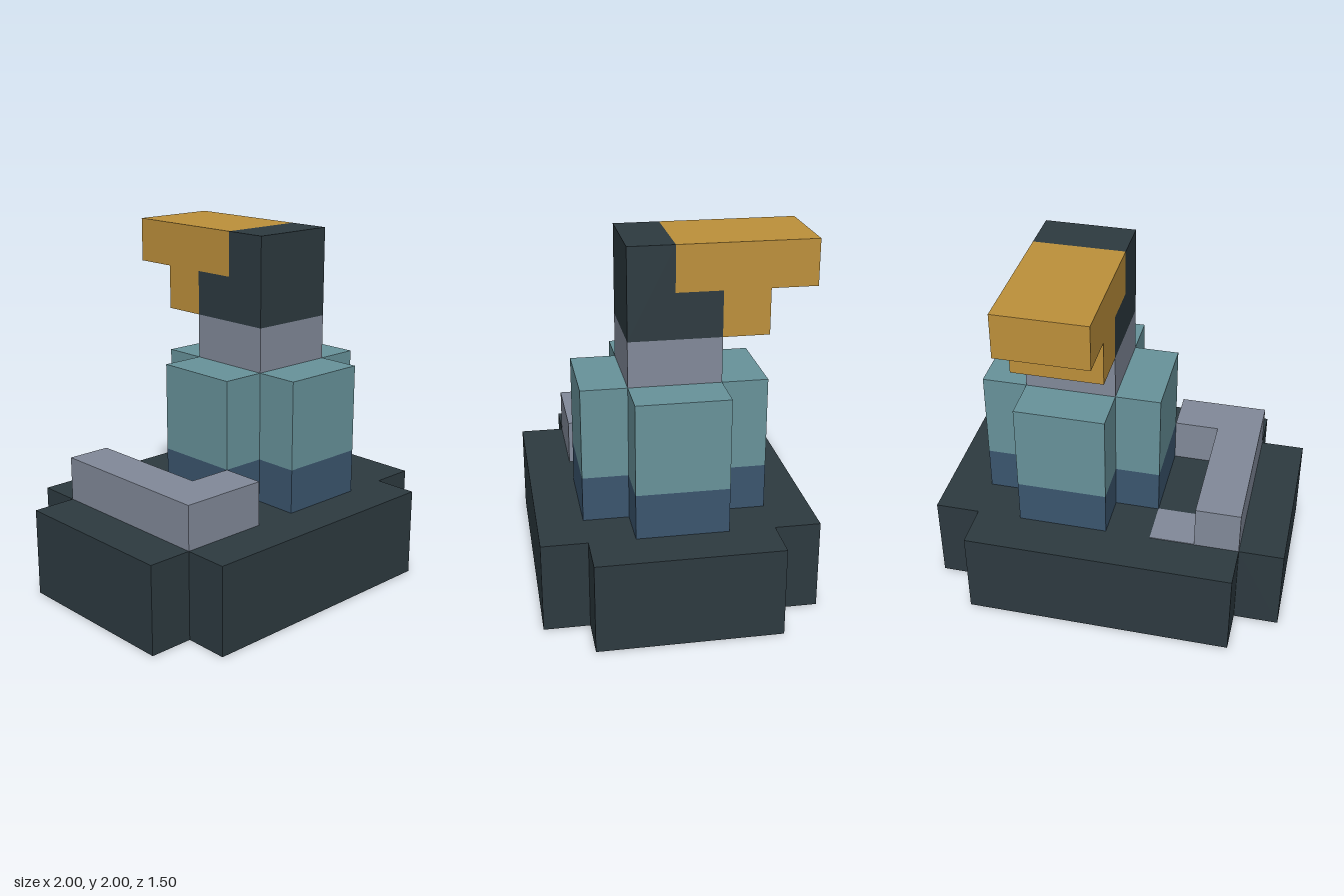
import * as THREE from 'three';

const material = (name, color) => {
  const m = new THREE.MeshStandardMaterial({ color });
  m.name = name;
  return m;
};

export function createModel() {
  const group = new THREE.Group();
  const charcoal = material('charcoal', 0x2d3a40);
  const teal = material('teal', 0x68939b);
  const grey = material('blue grey', 0x828a9a);
  const navy = material('navy', 0x3b566f);
  const amber = material('amber', 0xbe913b);

  const add = (name, geometry, mat) => {
    const mesh = new THREE.Mesh(geometry, mat);
    mesh.name = name;
    group.add(mesh);
  };
  const extrude = (points, depth) => new THREE.ExtrudeGeometry(
    new THREE.Shape(points.map(([x, y]) => new THREE.Vector2(x, y))),
    { depth, bevelEnabled: false });

  // Floor plan of [x, z] points raised from y0 to y1
  const slab = (name, plan, y0, y1, mat) => add(name,
    extrude(plan.map(([x, z]) => [x, -z]), y1 - y0).rotateX(-Math.PI / 2).translate(0, y0, 0), mat);
  // Side profile of [z, y] points, spanning x0 to x1
  const profile = (name, points, x0, x1, mat) => add(name,
    extrude(points, x1 - x0).rotateY(-Math.PI / 2).translate(x1, 0, 0), mat);
  // Plan of a block with square notches cut from its corners
  const cross = (cx, hx, hz, n) => [
    [-hx, -hz + n], [-hx + n, -hz + n], [-hx + n, -hz], [hx - n, -hz], [hx - n, -hz + n], [hx, -hz + n],
    [hx, hz - n], [hx - n, hz - n], [hx - n, hz], [-hx + n, hz], [-hx + n, hz - n], [-hx, hz - n],
  ].map(([x, z]) => [x + cx, z]);

  // Notched base
  slab('base', cross(0, 1, 0.75, 0.25), 0, 0.5, charcoal);

  // Body in two bands, then the neck
  const body = cross(0.25, 0.5, 0.5, 0.25);
  slab('lowerBody', body, 0.5, 0.75, navy);
  slab('upperBody', body, 0.75, 1.25, teal);
  slab('neck', [[0, -0.25], [0.5, -0.25], [0.5, 0.25], [0, 0.25]], 1.25, 1.5, grey);

  // Stepped head with the overhanging crest behind it
  profile('head', [[-0.25, 1.5], [0.25, 1.5], [0.25, 2], [0, 2], [0, 1.75], [-0.25, 1.75]], 0, 0.5, charcoal);
  profile('crest', [[-0.5, 1.5], [-0.25, 1.5], [-0.25, 1.75], [0, 1.75], [0, 2], [-0.75, 2], [-0.75, 1.75], [-0.5, 1.75]],
    0, 0.5, amber);

  // Bent rail beside the body and the flat tile set into the base
  slab('rail', [[-0.75, -0.5], [-0.5, -0.5], [-0.5, 0.25], [-0.25, 0.25], [-0.25, 0.5], [-0.75, 0.5]], 0.5, 0.75, grey);
  slab('floorTile', [[-0.5, -0.5], [-0.25, -0.5], [-0.25, -0.25], [-0.5, -0.25]], 0.5, 0.504, grey);

  return group;
}
